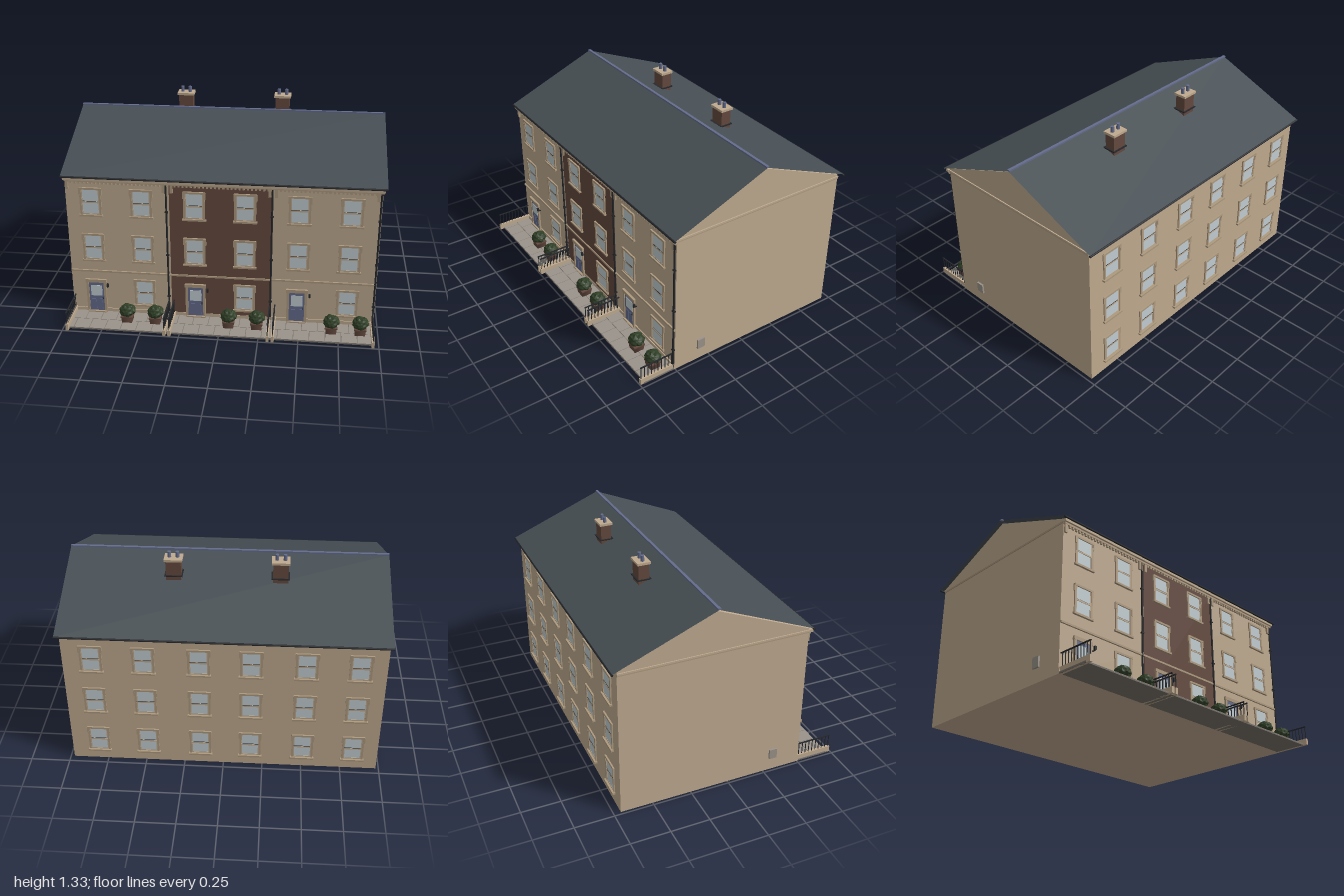
import * as THREE from 'three';

const mat = (name, color, extra = {}) => {
  const m = new THREE.MeshStandardMaterial({ color, ...extra });
  m.name = name;
  return m;
};

export function createModel() {
  const wall = mat('sandstone', 0xbfaa8f);
  const trim = mat('stone trim', 0xae9a7f);
  const brick = mat('brown brick', 0x64493f);
  const slate = mat('slate', 0x474f54, { side: THREE.DoubleSide });
  const glass = mat('glass', 0xc2ced2);
  const blue = mat('blue grey paint', 0x646c8c);
  const iron = mat('dark iron', 0x25282c);
  const leaf = mat('foliage', 0x2f3f26, { flatShading: true });
  const paving = mat('paving', 0x9a938a);
  const joint = mat('paving joint', 0x77716a);

  const model = new THREE.Group();
  model.name = 'terrace';
  const group = (name, parent = model) => {
    const g = new THREE.Group();
    g.name = name;
    parent.add(g);
    return g;
  };
  const add = (name, geo, m, x, y, z, parent = model) => {
    const mesh = new THREE.Mesh(geo, m);
    mesh.name = name;
    mesh.position.set(x, y, z);
    parent.add(mesh);
    return mesh;
  };
  // Box given by its minimum and maximum corners
  const box = (name, m, x0, x1, y0, y1, z0, z1, parent) =>
    add(name, new THREE.BoxGeometry(x1 - x0, y1 - y0, z1 - z0), m,
      (x0 + x1) / 2, (y0 + y1) / 2, (z0 + z1) / 2, parent);

  const L = -0.982, R = 0.976, F = 0.502, B = -0.705, RIDGE = -0.103;

  // Main walls with both gables
  const profile = new THREE.Shape([[B, 0], [F, 0], [F, 0.975], [RIDGE, 1.22], [B, 0.975]]
    .map(([z, y]) => new THREE.Vector2(z, y)));
  const body = new THREE.ExtrudeGeometry(profile, { depth: R - L, bevelEnabled: false });
  body.rotateY(-Math.PI / 2);
  add('walls', body, wall, R, 0, 0);
  box('brickFront', brick, -0.327, 0.312, 0.035, 0.94, F, F + 0.004);
  box('plinth', wall, L, R, 0, 0.035, F, F + 0.006);
  box('stringCourse', trim, L, R, 0.304, 0.316, F, F + 0.01);

  // Gable bands
  for (const [x0, x1] of [[L - 0.005, L], [R, R + 0.005]]) {
    box('gableBand', trim, x0, x1, 0.948, 0.956, B, F);
    box('gableBandUpper', wall, x0 - 0.002, x1 + 0.002, 0.956, 0.967, B, F);
  }

  // Cornice with dentils, and corner brackets
  box('corniceLower', trim, L, R + 0.006, 0.937, 0.95, F, 0.516);
  box('corniceUpper', wall, L - 0.006, R + 0.01, 0.95, 0.968, F, 0.528);
  const dentils = group('dentils');
  for (let i = 0; i < 78; i++) {
    const x = L + 0.012 + i * 0.025;
    box('dentil', trim, x, x + 0.012, 0.925, 0.937, F, 0.514, dentils);
  }
  for (const x of [-0.31, 0.295, -0.968, 0.95, -0.36, 0.335])
    box('bracket', trim, x - 0.009, x + 0.009, 0.885, 0.94, F, 0.514);

  // Roof slopes
  for (const [name, z, s] of [['frontRoof', 0.53, 1], ['backRoof', -0.738, -1]]) {
    const a = [-s, 0.977, z], b = [s, 0.977, z], c = [s, 1.236, RIDGE], d = [-s, 1.236, RIDGE];
    const g = new THREE.BufferGeometry();
    g.setAttribute('position', new THREE.Float32BufferAttribute([a, b, c, a, c, d].flat(), 3));
    g.computeVertexNormals();
    add(name, g, slate, 0, 0, 0);
  }
  box('ridgeTiles', blue, -1, 1, 1.235, 1.245, RIDGE - 0.009, RIDGE + 0.009);
  for (const z of [0.53, -0.736]) {
    const gutter = add('gutter', new THREE.CylinderGeometry(0.007, 0.007, 2, 8), iron, 0, 0.972, z);
    gutter.rotation.z = Math.PI / 2;
  }

  // Chimneys
  for (const x of [-0.329, 0.326]) {
    const g = group('chimney');
    box('stack', brick, x - 0.047, x + 0.047, 1.1, 1.278, -0.328, -0.259, g);
    box('flashing', iron, x - 0.056, x + 0.056, 1.172, 1.178, -0.338, -0.247, g);
    box('cap', wall, x - 0.056, x + 0.056, 1.274, 1.289, -0.337, -0.25, g);
    for (const dx of [-0.025, 0.025])
      add('chimneyPot', new THREE.CylinderGeometry(0.011, 0.012, 0.04, 10), blue, x + dx, 1.306, -0.293, g);
  }

  // Sash window facing +z, bottom centre at the origin
  const H = 0.17;
  const makeWindow = (rear) => {
    const g = group('window');
    const w = 0.057;
    box('pane', glass, -w, w, 0, H, 0, 0.003, g);
    for (const s of [-1, 1]) {
      const x = s * (w + 0.005);
      box('jamb', trim, x - 0.006, x + 0.006, 0, H, 0, 0.008, g);
      box('ear', trim, x + s * 0.006 - 0.005, x + s * 0.006 + 0.005, H - 0.035, H + 0.01, 0, 0.009, g);
      box('sashStile', wall, s * 0.053 - 0.003, s * 0.053 + 0.003, 0, H, 0, 0.005, g);
    }
    box('meetingRail', wall, -w, w, H * 0.5 - 0.005, H * 0.5 + 0.005, 0, 0.006, g);
    box('railShadowGap', iron, -w, w, H * 0.5 + 0.005, H * 0.5 + 0.007, 0, 0.005, g);
    box('lowerRail', wall, -w, w, 0, 0.008, 0, 0.005, g);
    box('lintel', trim, -0.07, 0.07, H, H + 0.013, 0, 0.01, g);
    box('sill', trim, -0.075, 0.075, -0.012, 0, 0, rear ? 0.018 : 0.014, g);
    return g;
  };

  // Panelled door with glazed upper half
  const makeDoor = () => {
    const g = group('door');
    box('leaf', blue, -0.05, 0.05, 0, 0.218, 0, 0.006, g);
    box('doorGlass', glass, -0.037, 0.037, 0.118, 0.195, 0.006, 0.008, g);
    for (const x of [-0.02, 0.02])
      box('panel', blue, x - 0.015, x + 0.015, 0.02, 0.095, 0.006, 0.009, g);
    box('handle', iron, 0.038, 0.043, 0.095, 0.11, 0.006, 0.012, g);
    for (const s of [-1, 1])
      box('doorJamb', trim, s * 0.057 - 0.008, s * 0.057 + 0.008, 0, 0.222, 0, 0.012, g);
    box('doorHead', trim, -0.069, 0.069, 0.218, 0.24, 0, 0.014, g);
    box('threshold', trim, -0.06, 0.06, -0.002, 0.008, 0, 0.02, g);
    // Wall lantern beside the door
    box('lanternArm', iron, 0.077, 0.082, 0.19, 0.196, 0, 0.025, g);
    box('lantern', iron, 0.073, 0.086, 0.196, 0.218, 0.014, 0.028, g);
    return g;
  };

  const columns = [-0.823, -0.503, -0.171, 0.146, 0.481, 0.799];
  const sills = [0.08, 0.398, 0.715];
  columns.forEach((x, i) => sills.forEach((y, floor) => {
    const rear = makeWindow(true);
    rear.position.set(x, y, B);
    rear.rotation.y = Math.PI;
    if (floor === 0 && i % 2 === 0) makeDoor().position.set(x, 0.012, F + 0.004);
    else makeWindow(false).position.set(x, y, F + 0.004);
  }));

  // Drainpipes with clips
  for (const x of [-0.345, 0.312, 0.967]) {
    add('drainpipe', new THREE.CylinderGeometry(0.006, 0.006, 0.93, 8), iron, x, 0.48, F + 0.008);
    for (const y of [0.15, 0.45, 0.75])
      box('pipeClip', iron, x - 0.01, x + 0.01, y, y + 0.008, F, F + 0.015);
  }

  // Meter boxes on the end walls
  box('meterBox', paving, L - 0.012, L, 0.088, 0.155, 0.287, 0.339);
  box('meterBox', paving, R, R + 0.012, 0.088, 0.155, 0.287, 0.339);

  // Forecourt paving in staggered slabs
  box('forecourt', joint, L, R, 0, 0.009, F, 0.718);
  const slabs = group('slabs');
  for (let row = 0; row < 2; row++)
    for (let i = 0; i < 20; i++) {
      const x0 = Math.max(L, L + (i - row * 0.5) * 0.1), x1 = Math.min(R, L + (i + 1 - row * 0.5) * 0.1);
      const z0 = F + row * 0.108;
      box('slab', paving, x0 + 0.002, x1 - 0.002, 0.008, 0.012, z0 + 0.002, z0 + 0.106, slabs);
    }

  // Dividing kerbs with iron railings
  for (const x of [-0.969, -0.344, -0.312, 0.308, 0.341, 0.963]) {
    const g = group('railing');
    box('kerb', wall, x - 0.009, x + 0.009, 0, 0.04, F, 0.745, g);
    box('topRail', iron, x - 0.004, x + 0.004, 0.121, 0.127, F, 0.742, g);
    for (let i = 0; i < 10; i++) {
      const z = 0.517 + i * 0.0245;
      box('baluster', iron, x - 0.002, x + 0.002, 0.04, 0.122, z - 0.002, z + 0.002, g);
    }
  }

  // Potted shrubs: a ball of small leaf blades in a tapered square pot
  let seed = 7;
  const rand = () => (seed = (seed * 16807) % 2147483647) / 2147483647;
  const shrub = new THREE.IcosahedronGeometry(1, 3);
  const p = shrub.attributes.position, seen = {};
  for (let i = 0; i < p.count; i++) {
    const key = [p.getX(i), p.getY(i), p.getZ(i)].map((v) => v.toFixed(3)).join();
    const k = (seen[key] ??= 0.84 + rand() * 0.22);
    p.setXYZ(i, p.getX(i) * k * 0.052, p.getY(i) * k * 0.043, p.getZ(i) * k * 0.052);
  }
  shrub.computeVertexNormals();
  const pot = new THREE.CylinderGeometry(0.052, 0.045, 0.045, 4).rotateY(Math.PI / 4);
  for (const x of [-0.603, -0.42, 0.053, 0.233, 0.704, 0.886]) {
    const g = group('pottedShrub');
    add('pot', pot, brick, x, 0.034, 0.602, g);
    box('potRim', brick, x - 0.039, x + 0.039, 0.05, 0.058, 0.563, 0.641, g);
    add('shrub', shrub, leaf, x, 0.087, 0.602, g);
  }
  return model;
}
